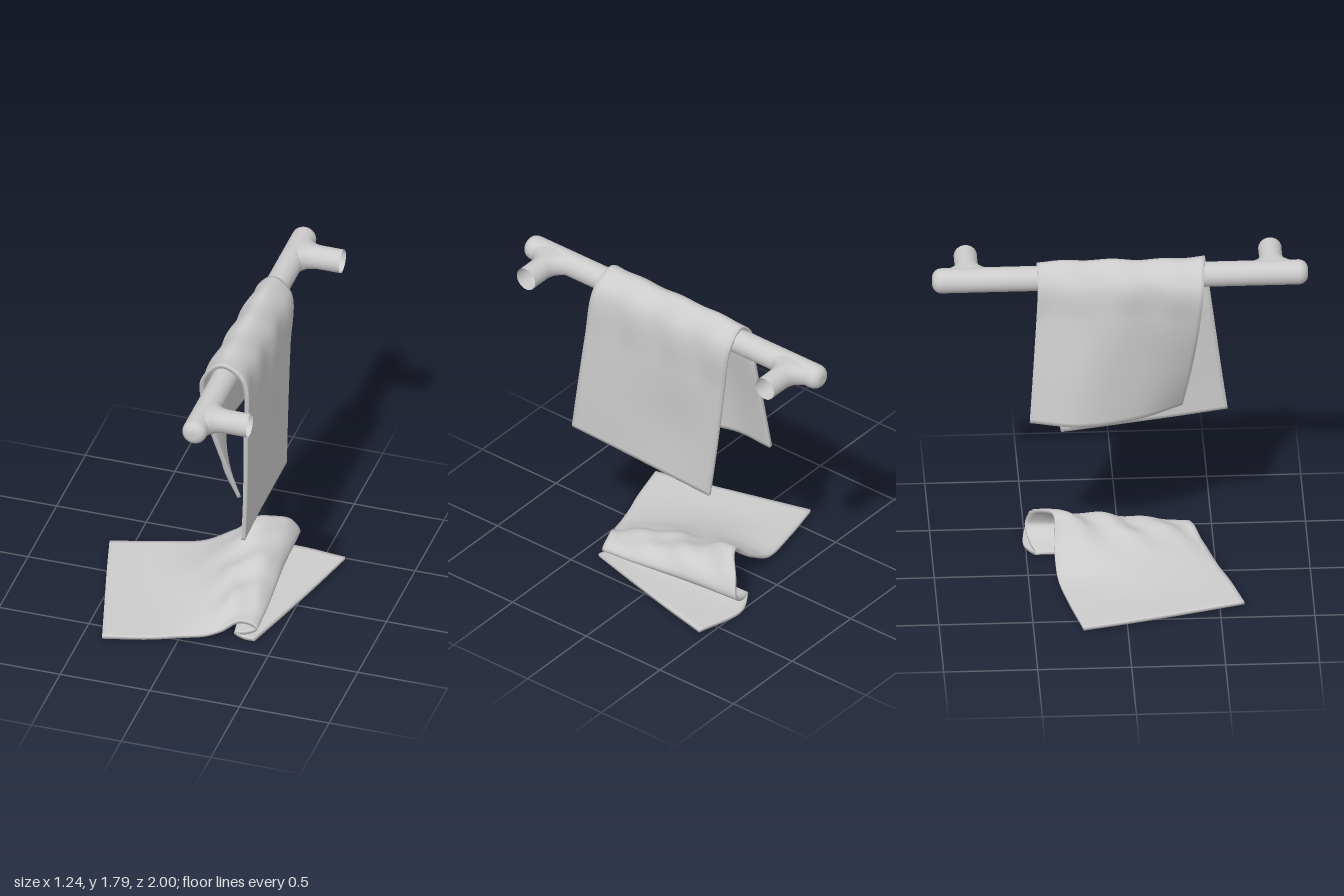
import * as THREE from 'three';

const grey = new THREE.MeshStandardMaterial({ color: 0xcccccc, side: THREE.DoubleSide });
const RAIL_X = 0.235, RAIL_Y = 1.69, RAIL_R = 0.067;

// Smooth curve through [x, y, z] points
const curve = (pts) => new THREE.CatmullRomCurve3(pts.map((p) => new THREE.Vector3(...p)));

// Thick cloth skinned over a few section curves; ripple(p, u, v) adds creases
function cloth(name, sections, thickness, ripple, nu = 40, nv = 110) {
  const curves = sections.map(curve);
  const pos = [], idx = [];
  const at = (i, j) => i * (nv + 1) + j;
  for (let j = 0; j <= nv; j++) {
    const across = new THREE.CatmullRomCurve3(curves.map((c) => c.getPoint(j / nv)));
    for (let i = 0; i <= nu; i++) {
      const p = across.getPoint(i / nu);
      ripple(p, i / nu, j / nv);
      p.toArray(pos, at(i, j) * 3);
    }
  }
  for (let i = 0; i < nu; i++) {
    for (let j = 0; j < nv; j++) {
      const a = at(i, j), b = at(i, j + 1), c = at(i + 1, j + 1), d = at(i + 1, j);
      idx.push(a, d, b, b, d, c);
    }
  }
  const mid = new THREE.BufferGeometry();
  mid.setAttribute('position', new THREE.Float32BufferAttribute(pos, 3));
  mid.setIndex(idx);
  mid.computeVertexNormals();

  // Offset to both sides, then close the hem
  const n = mid.attributes.normal.array, h = thickness / 2, count = pos.length / 3;
  const both = [...pos.map((v, k) => v + n[k] * h), ...pos.map((v, k) => v - n[k] * h)];
  const faces = [...idx];
  for (let k = 0; k < idx.length; k += 3) {
    faces.push(idx[k] + count, idx[k + 2] + count, idx[k + 1] + count);
  }
  const hem = (a, b) => faces.push(a, b, a + count, b, b + count, a + count);
  for (let i = 0; i < nu; i++) {
    hem(at(i + 1, 0), at(i, 0));
    hem(at(i, nv), at(i + 1, nv));
  }
  for (let j = 0; j < nv; j++) {
    hem(at(0, j), at(0, j + 1));
    hem(at(nu, j + 1), at(nu, j));
  }
  const geo = new THREE.BufferGeometry();
  geo.setAttribute('position', new THREE.Float32BufferAttribute(both, 3));
  geo.setIndex(faces);
  geo.computeVertexNormals();
  const mesh = new THREE.Mesh(geo, grey);
  mesh.name = name;
  return mesh;
}

// Round bar with softened ends
function rail() {
  const profile = [new THREE.Vector2(0, -1)];
  for (let i = 0; i <= 8; i++) {
    const a = (i / 8) * Math.PI / 2;
    profile.push(new THREE.Vector2(RAIL_R - 0.05 + 0.05 * Math.sin(a), -0.95 - 0.05 * Math.cos(a)));
  }
  const mirrored = profile.map((p) => new THREE.Vector2(p.x, -p.y)).reverse();
  const mesh = new THREE.Mesh(new THREE.LatheGeometry([...profile, ...mirrored], 40), grey);
  mesh.rotation.x = Math.PI / 2;
  mesh.position.set(RAIL_X, RAIL_Y, 0);
  mesh.name = 'rail';
  return mesh;
}

// Open wall arm that flares sideways where it meets the rail
function bracket(side) {
  const flare = curve([[0.235, 0.175, 0], [0.275, 0.155, 0], [0.298, 0.115, 0], [0.32, 0.085, 0],
    [0.355, 0.066, 0], [0.42, 0.062, 0], [0.495, 0.062, 0]]);
  const geo = new THREE.CylinderGeometry(1, 1, 1, 40, 24, true);
  const p = geo.attributes.position;
  for (let i = 0; i < p.count; i++) {
    const f = flare.getPoint(p.getY(i) + 0.5);
    p.setXYZ(i, f.x, RAIL_Y + p.getX(i) * 0.065, 0.81 * side + p.getZ(i) * f.y);
  }
  geo.computeVertexNormals();
  const mesh = new THREE.Mesh(geo, grey);
  mesh.name = side > 0 ? 'frontBracket' : 'backBracket';
  return mesh;
}

// Sections run from the right hem, over the rail, to the left hem
const hangingSections = [
  [[0.04, 0.92, -0.49], [0.08, 1.2, -0.47], [0.13, 1.5, -0.45], [0.152, 1.7, -0.44], [0.23, 1.772, -0.44],
    [0.315, 1.7, -0.44], [0.325, 1.4, -0.4], [0.33, 1, -0.35], [0.335, 0.69, -0.31]],
  [[0.015, 0.9, -0.22], [0.05, 1.2, -0.19], [0.1, 1.5, -0.16], [0.145, 1.7, -0.14], [0.23, 1.778, -0.14],
    [0.318, 1.7, -0.14], [0.345, 1.4, -0.1], [0.335, 1, -0.06], [0.35, 0.72, -0.01]],
  [[0.12, 0.88, 0.08], [0.13, 1.2, 0.11], [0.125, 1.5, 0.14], [0.14, 1.7, 0.16], [0.23, 1.77, 0.16],
    [0.318, 1.7, 0.16], [0.35, 1.4, 0.2], [0.36, 1, 0.24], [0.365, 0.75, 0.29]],
  [[0.285, 0.87, 0.33], [0.2, 1.15, 0.38], [0.125, 1.45, 0.42], [0.115, 1.66, 0.44], [0.22, 1.772, 0.45],
    [0.33, 1.72, 0.46], [0.37, 1.4, 0.5], [0.385, 1, 0.55], [0.385, 0.78, 0.58]],
];

// Sections run from the upper hem, over the heap, under it and out to the lower hem
const heapSections = [
  [[-0.62, 0.025, -0.235], [-0.36, 0.035, -0.3], [-0.12, 0.06, -0.35], [0.04, 0.16, -0.36], [0.17, 0.275, -0.36],
    [0.3, 0.215, -0.46], [0.35, 0.12, -0.5], [0.27, 0.055, -0.48], [0.19, 0.03, -0.45], [0.31, 0.014, -0.51],
    [0.62, 0.03, -0.465]],
  [[-0.545, 0.022, 0.05], [-0.3, 0.03, 0], [-0.1, 0.075, -0.02], [0.05, 0.14, -0.08], [0.17, 0.195, -0.1],
    [0.3, 0.195, -0.15], [0.36, 0.11, -0.17], [0.3, 0.05, -0.15], [0.2, 0.03, -0.12], [0.32, 0.014, -0.18],
    [0.545, 0.02, -0.18]],
  [[-0.465, 0.022, 0.34], [-0.22, 0.026, 0.28], [-0.05, 0.055, 0.23], [0.1, 0.11, 0.2], [0.2, 0.155, 0.15],
    [0.32, 0.15, 0.1], [0.38, 0.09, 0.1], [0.32, 0.045, 0.12], [0.24, 0.028, 0.12], [0.34, 0.014, 0.11],
    [0.47, 0.02, 0.11]],
  [[-0.385, 0.025, 0.63], [-0.15, 0.025, 0.565], [0, 0.03, 0.51], [0.16, 0.045, 0.46], [0.25, 0.09, 0.42],
    [0.34, 0.105, 0.38], [0.39, 0.07, 0.37], [0.34, 0.042, 0.38], [0.28, 0.027, 0.38], [0.33, 0.014, 0.39],
    [0.39, 0.02, 0.4]],
];

export function createModel() {
  const group = new THREE.Group();
  group.add(rail(), bracket(1), bracket(-1));

  // Creases bunch over the rail and fade down the sides
  group.add(cloth('hangingTowel', hangingSections, 0.02, (p, u, v) => {
    const top = Math.exp(-(((v - 0.5) / 0.09) ** 2));
    const wave = 0.5 + 0.5 * Math.sin(u * 21 + v * 9);
    p.y += 0.009 * top * wave;
    p.x += Math.sign(v - 0.5) * 0.012 * wave * Math.exp(-(((Math.abs(v - 0.5) - 0.16) / 0.08) ** 2));
  }));

  // Soft folds run along the heap's crest
  group.add(cloth('fallenTowel', heapSections, 0.018, (p, u, v) => {
    const crest = Math.exp(-(((v - 0.42) / 0.11) ** 2));
    p.y += crest * (0.012 * Math.sin(u * 19 + v * 14) + 0.006 * Math.sin(u * 9 - v * 45));
    p.x += 0.008 * crest * Math.sin(u * 17 + 1);
  }));
  return group;
}
